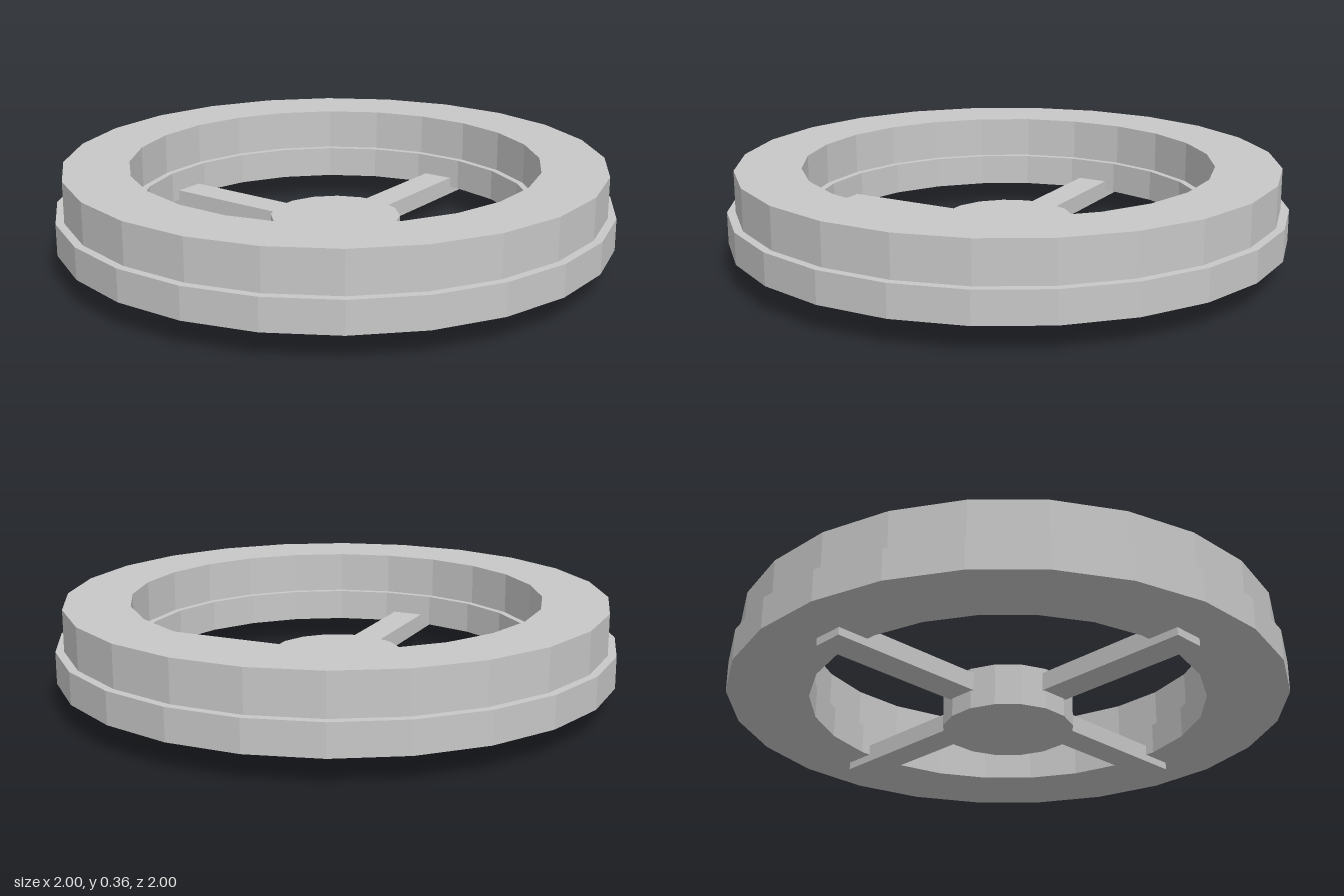
import * as THREE from 'three';

const grey = new THREE.MeshStandardMaterial({ color: 0xc8c8c8 });
grey.name = 'plain grey';

// Faceted mesh: split the vertices so every face has its own normal
function faceted(name, geometry) {
  const flat = geometry.index ? geometry.toNonIndexed() : geometry;
  flat.computeVertexNormals();
  const mesh = new THREE.Mesh(flat, grey);
  mesh.name = name;
  return mesh;
}

export function createModel() {
  const model = new THREE.Group();
  model.name = 'handwheel';

  // Stepped rim with 24 sides; radii are given to the middle of the flats
  const sides = 24;
  const k = 1 / Math.cos(Math.PI / sides);
  const profile = [
    [0.71, 0.095], [1, 0.095], [1, 0.21], [0.97, 0.21], [0.97, 0.36],
    [0.735, 0.36], [0.735, 0.21], [0.71, 0.21], [0.71, 0.095],
  ].map(([r, y]) => new THREE.Vector2(r * k, y));
  model.add(faceted('rim', new THREE.LatheGeometry(profile, sides, Math.PI / sides)));

  // Hub with 16 sides
  const hubR = 0.232 / Math.cos(Math.PI / 16);
  const hub = faceted('hub', new THREE.CylinderGeometry(hubR, hubR, 0.152, 16, 1, false, Math.PI / 16));
  hub.position.y = 0.076;
  model.add(hub);

  // Four spokes, running from the hub to under the rim
  for (let i = 0; i < 4; i++) {
    const geometry = new THREE.BoxGeometry(0.69, 0.066, 0.115);
    geometry.translate(0.485, 0.1, 0);
    geometry.rotateY(i * Math.PI / 2);
    model.add(faceted('spoke' + (i + 1), geometry));
  }
  return model;
}
